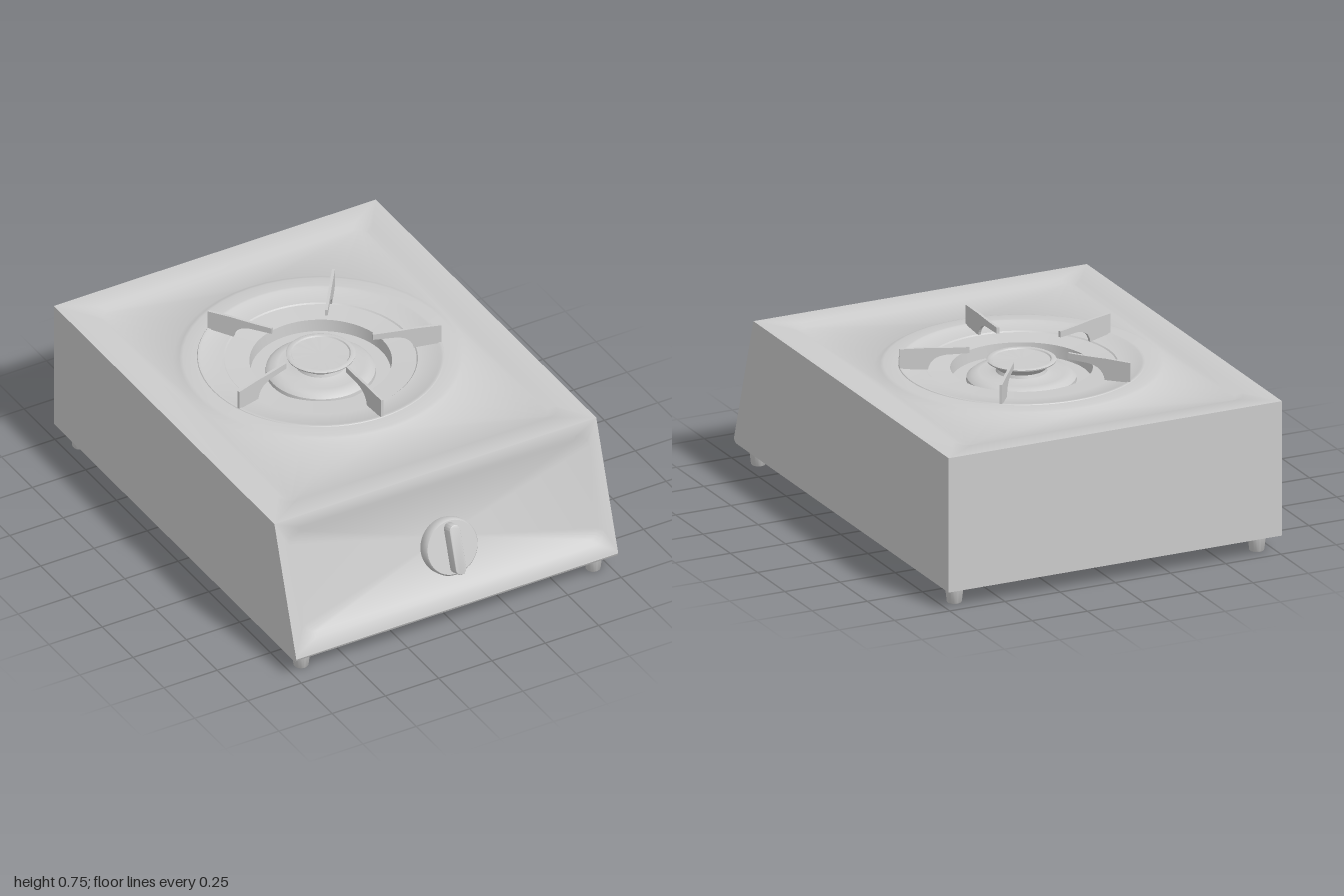
import * as THREE from 'three';
import { toCreasedNormals } from 'three/addons/utils/BufferGeometryUtils.js';

const material = new THREE.MeshStandardMaterial({ color: 0xcccccc, side: THREE.DoubleSide });

function add(parent, name, geometry, x = 0, y = 0, z = 0) {
  const mesh = new THREE.Mesh(geometry, material);
  mesh.name = name;
  mesh.position.set(x, y, z);
  parent.add(mesh);
  return mesh;
}

// Rounded rectangle loop in the XY plane; radius = half size gives a circle
function loop(hw, hh, r, z = 0, cy = 0) {
  const points = [], steps = 12;
  for (let q = 0; q < 4; q++) {
    const sx = q === 0 || q === 3 ? 1 : -1, sy = q < 2 ? 1 : -1;
    for (let i = 0; i <= steps; i++) {
      const a = (q + i / steps) * Math.PI / 2;
      points.push([sx * (hw - r) + r * Math.cos(a), cy + sy * (hh - r) + r * Math.sin(a), z]);
    }
  }
  return points;
}

// Skin a series of loops with equal point counts
function loft(rings, closed = true, crease = 0.6) {
  const n = rings[0].length, index = [];
  for (let j = 0; j < rings.length - 1; j++) {
    for (let i = 0; i < (closed ? n : n - 1); i++) {
      const k = (i + 1) % n;
      const a = j * n + i, b = j * n + k, c = a + n, d = b + n;
      index.push(a, b, c, b, d, c);
    }
  }
  const g = new THREE.BufferGeometry();
  g.setAttribute('position', new THREE.Float32BufferAttribute(rings.flat(2), 3));
  g.setIndex(index);
  return toCreasedNormals(g, crease);
}

const lathe = (pts, segments = 48) => toCreasedNormals(
  new THREE.LatheGeometry(pts.map(p => new THREE.Vector2(...p)), segments), 0.7);

export function createModel() {
  const model = new THREE.Group();
  model.name = 'gasStove';
  const halfW = 0.755, topY = 0.662, burnerZ = -0.14;

  // Casing: back, bottom and rolled front lip, then the two side walls (z, y)
  const profile = [[0.965, 0.108], [0.968, 0.098], [0.963, 0.087], [0.95, 0.08], [-1, 0.08], [-1, topY]];
  add(model, 'casing', loft([-halfW, halfW].map(x => profile.map(([z, y]) => [x, y, z])), false));
  const outline = new THREE.Shape([...profile, [0.79, topY]].map(p => new THREE.Vector2(...p)));
  for (const side of [-1, 1]) {
    const wall = new THREE.ShapeGeometry(outline);
    wall.rotateY(side * Math.PI / 2);
    if (side > 0) wall.scale(1, 1, -1).rotateY(Math.PI).scale(-1, 1, -1);
    // keep the outline running along +z on both sides
    const p = wall.attributes.position;
    outlineToSide(p, wall, outline, side * halfW);
    add(model, side > 0 ? 'leftWall' : 'rightWall', wall);
  }

  // Top panel: pressed recess, raised burner rim and drip well
  const cy = 0.035;
  const circle = (r, z) => loop(r, r, r, z, cy);
  const top = add(model, 'topPanel', loft([
    loop(halfW, 0.895, 0),
    loop(0.65, 0.798, 0.06),
    loop(0.622, 0.77, 0.05, -0.014),
    circle(0.6, -0.014), circle(0.575, 0.001), circle(0.56, 0.005),
    circle(0.5, 0.006),
  ]), 0, topY, -0.105);
  top.rotation.x = -Math.PI / 2;
  add(model, 'dripPlate', lathe([
    [0.505, 0.665], [0.5, 0.671], [0.49, 0.671], [0.48, 0.664], [0.395, 0.66], [0.39, 0.655],
    [0.29, 0.648], [0.285, 0.595], [0.2, 0.595],
  ], 64), 0, 0, burnerZ);

  // Burner with flared cap
  add(model, 'burner', lathe([
    [0.225, 0.595], [0.223, 0.61], [0.205, 0.625], [0.175, 0.629], [0.135, 0.625], [0.105, 0.635],
    [0.1, 0.648], [0.115, 0.664], [0.14, 0.678], [0.142, 0.684], [0.135, 0.688],
    [0.122, 0.687], [0.118, 0.682], [0, 0.682],
  ]), 0, 0, burnerZ);

  // Five pan supports: outer leg with an arm reaching inwards
  const arm = new THREE.Shape();
  arm.moveTo(0.5, 0.668);
  arm.lineTo(0.5, 0.753);
  arm.lineTo(0.39, 0.753);
  arm.quadraticCurveTo(0.3, 0.748, 0.215, 0.748);
  arm.lineTo(0.215, 0.722);
  arm.lineTo(0.31, 0.72);
  arm.quadraticCurveTo(0.375, 0.715, 0.385, 0.66);
  const armGeometry = new THREE.ExtrudeGeometry(arm, { depth: 0.012, bevelEnabled: false, curveSegments: 8 });
  armGeometry.translate(0, 0, -0.006).rotateY(-Math.PI / 2);
  for (let i = 0; i < 5; i++) {
    add(model, 'panSupport', armGeometry, 0, 0, burnerZ).rotation.y = i * Math.PI * 2 / 5;
  }

  // Sloping front with pressed recess
  const front = new THREE.Group();
  front.name = 'front';
  front.position.set(0, (0.108 + topY) / 2, (0.965 + 0.79) / 2);
  front.rotation.x = -Math.atan2(0.175, topY - 0.108);
  model.add(front);
  add(front, 'frontPanel', loft([
    loop(halfW, 0.2905, 0),
    loop(0.705, 0.24, 0.06, 0, 0.003),
    loop(0.682, 0.217, 0.045, -0.014, 0.003),
    loop(0, 0, 0, -0.014, 0.003),
  ]));

  // Knob: round dial with a rounded grip bar
  const dial = lathe([[0.115, -0.02], [0.121, 0], [0.121, 0.036], [0.115, 0.044], [0, 0.044]]);
  dial.rotateX(Math.PI / 2);
  add(front, 'knobDial', dial, 0, -0.032, 0);
  const grip = new THREE.Shape(loop(0.021, 0.105, 0.021).map(p => new THREE.Vector2(p[0], p[1])));
  add(front, 'knobGrip', toCreasedNormals(new THREE.ExtrudeGeometry(grip, {
    depth: 0.055, bevelSize: 0.004, bevelThickness: 0.006, bevelSegments: 3,
  }), 0.7), 0, -0.032, 0.032);

  // Tapered feet
  const foot = lathe([[0, 0], [0.028, 0], [0.031, 0.004], [0.04, 0.082]], 24);
  for (const x of [-0.685, 0.685]) for (const z of [-0.91, 0.885]) add(model, 'foot', foot, x, 0, z);

  return model;
}

// Lay a flat (z, y) outline on the side plane at x, facing outwards
function outlineToSide(position, geometry, shape, x) {
  const flat = new THREE.ShapeGeometry(shape);
  const src = flat.attributes.position, index = Array.from(flat.index.array);
  for (let i = 0; i < src.count; i++) position.setXYZ(i, x, src.getY(i), src.getX(i));
  if (x > 0) index.reverse();
  geometry.setIndex(index);
  geometry.computeVertexNormals();
}
